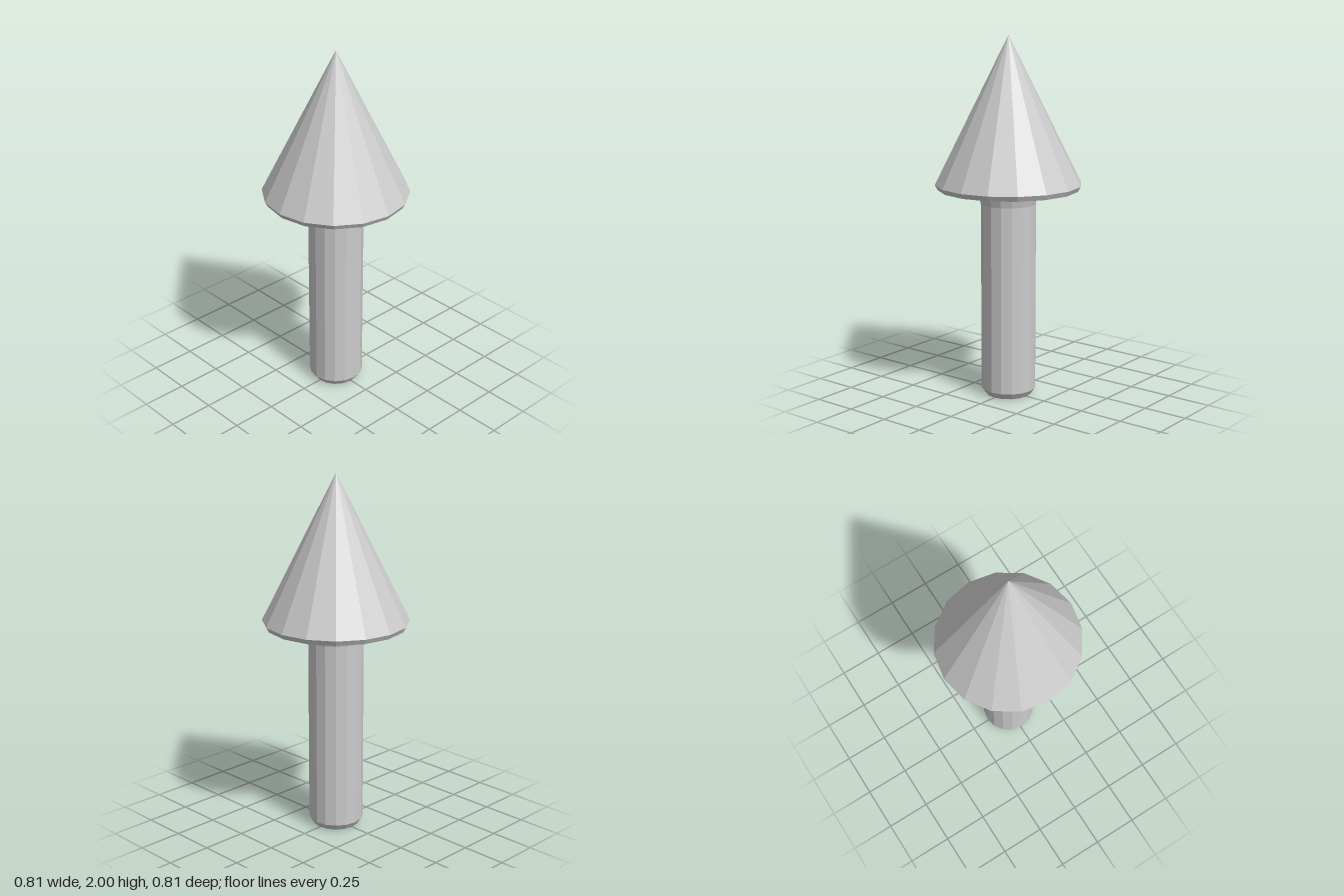
import * as THREE from 'three';

const SIDES = 16;

// Faceted solid of revolution from [radius, height] pairs, listed bottom to top
function turned(name, profile, material) {
  const points = profile.map(([r, y]) => new THREE.Vector2(r, y));
  const mesh = new THREE.Mesh(new THREE.LatheGeometry(points, SIDES), material);
  mesh.name = name;
  return mesh;
}

export function createModel() {
  const group = new THREE.Group();
  group.name = 'coneHeadedPin';
  const material = new THREE.MeshStandardMaterial({ color: 0xcccccc, flatShading: true });

  // Shaft: chamfered foot, straight body, small flare under the head
  group.add(turned('shaft', [
    [0, 0], [0.127, 0], [0.152, 0.036], [0.152, 1.085], [0.165, 1.14],
  ], material));

  // Head: sloped underside, bevelled rim, pointed cone
  group.add(turned('head', [
    [0.165, 1.14], [0.388, 1.167], [0.403, 1.195], [0, 2],
  ], material));

  return group;
}
